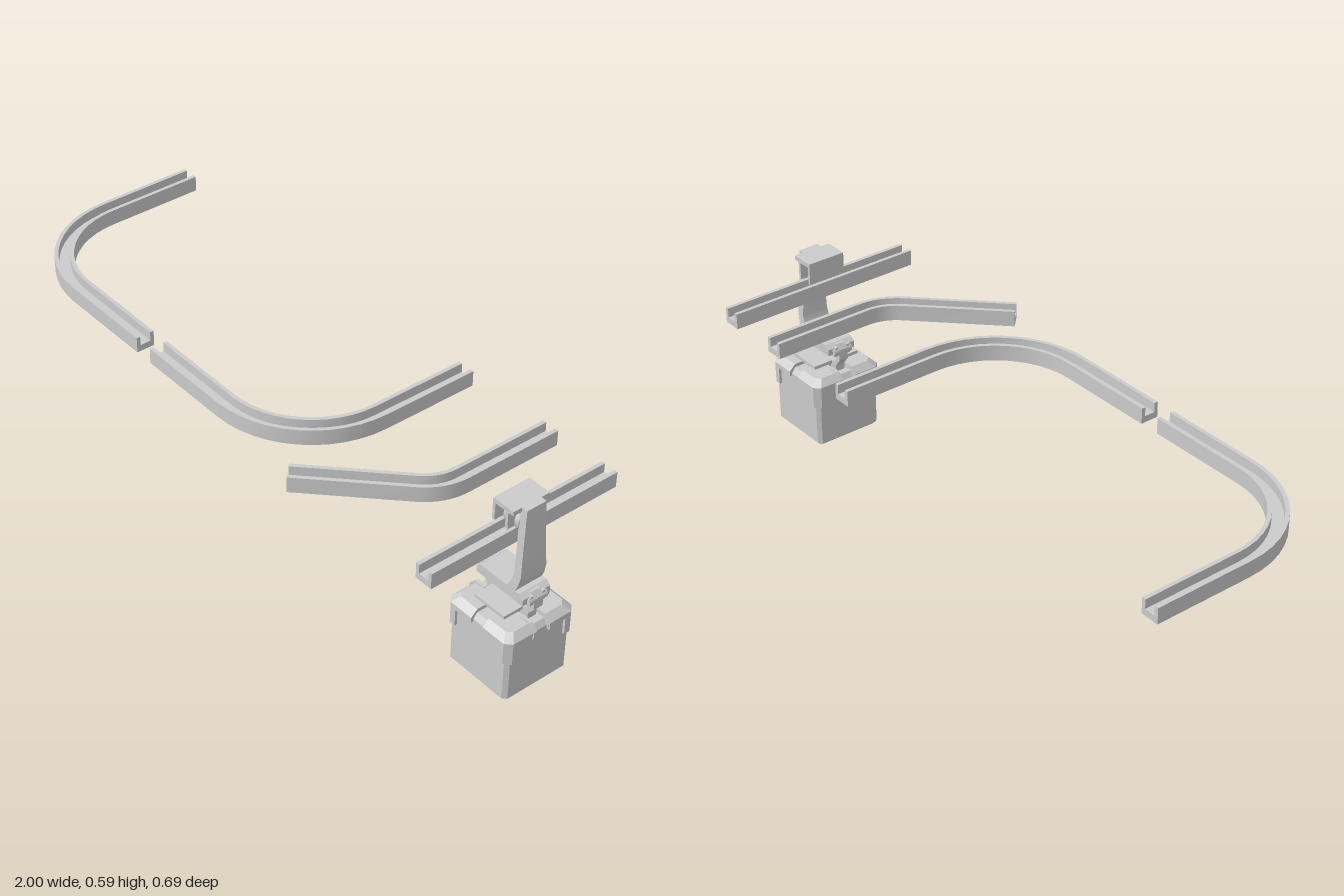
import * as THREE from 'three';
import { toCreasedNormals } from 'three/addons/utils/BufferGeometryUtils.js';

const material = new THREE.MeshStandardMaterial({ color: 0xcccccc });
const CX = 0.874, CZ = -0.02; // centre of the hanging crate

function add(parent, name, geometry, x = 0, y = 0, z = 0) {
  const mesh = new THREE.Mesh(geometry, material);
  mesh.name = name;
  mesh.position.set(x, y, z);
  parent.add(mesh);
  return mesh;
}

// Box given by its limits on each axis
function block(parent, name, x0, x1, y0, y1, z0, z1) {
  return add(parent, name, new THREE.BoxGeometry(x1 - x0, y1 - y0, z1 - z0),
    (x0 + x1) / 2, (y0 + y1) / 2, (z0 + z1) / 2);
}

// Capped skin over matching rings; contour is the counter-clockwise 2D section
function loft(rings, contour) {
  const tris = [], n = contour.length, last = rings.length - 1;
  for (let i = 0; i < last; i++) {
    for (let j = 0; j < n; j++) {
      const k = (j + 1) % n;
      const [a, b, c, d] = [rings[i][j], rings[i][k], rings[i + 1][k], rings[i + 1][j]];
      tris.push([a, b, c], [a, c, d]);
    }
  }
  for (const [a, b, c] of THREE.ShapeUtils.triangulateShape(contour, [])) {
    tris.push([rings[last][a], rings[last][b], rings[last][c]]);
    tris.push([rings[0][a], rings[0][c], rings[0][b]]);
  }
  // turn the skin outward when its signed volume is negative
  const cross = new THREE.Vector3();
  const volume = tris.reduce((s, [a, b, c]) => s + a.dot(cross.crossVectors(b, c)), 0);
  if (volume < 0) tris.forEach(t => t.reverse());
  const geometry = new THREE.BufferGeometry().setFromPoints(tris.flat());
  return toCreasedNormals(geometry, 0.4);
}

// Loft upward from sections in x and z: levels are [y, contour]
function stack(levels) {
  return loft(levels.map(([y, pts]) => pts.map(p => new THREE.Vector3(p.x, y, p.y))), levels[0][1]);
}

const v2 = list => list.map(([x, y]) => new THREE.Vector2(x, y));

// Square with cut corners
function octagon(h, c) {
  const k = h - c;
  return v2([[h, -k], [h, k], [k, h], [-k, h], [-h, k], [-h, -k], [-k, -h], [k, -h]]);
}

// Square from g to h with its outer corner cut
const cornerShape = (g, h, c) => v2([[g, g], [h, g], [h, h - c], [h - c, h], [g, h]]);

function arc(cx, cz, r, a0, a1, steps = 12) {
  return Array.from({ length: steps + 1 }, (_, i) => {
    const a = a0 + (a1 - a0) * i / steps;
    return [cx + r * Math.cos(a), cz + r * Math.sin(a)];
  });
}

// Channel open at the top, swept along a path in x and z
function rail(parent, name, path) {
  const w = 0.029, t = 0.017, y0 = 0.46, y1 = 0.509, floor = 0.48;
  const section = v2([[-w, y0], [w, y0], [w, y1], [t, y1], [t, floor], [-t, floor], [-t, y1], [-w, y1]]);
  const pts = path.map(([x, z]) => new THREE.Vector2(x, z));
  const rings = pts.map((p, i) => {
    const dir = pts[Math.min(i + 1, pts.length - 1)].clone().sub(pts[Math.max(i - 1, 0)]).normalize();
    return section.map(s => new THREE.Vector3(p.x - dir.y * s.x, s.y, p.y + dir.x * s.x));
  });
  add(parent, name, loft(rings, section));
}

function buildRails(root) {
  const rails = new THREE.Group();
  rails.name = 'rails';
  root.add(rails);
  const PI = Math.PI;
  rail(rails, 'leftTurnRail', [[-0.971, -0.345], ...arc(-0.676, -0.033, 0.295, PI, PI / 2), [-0.358, 0.262]]);
  rail(rails, 'rightTurnRail', [[-0.295, 0.262], ...arc(0.02, -0.033, 0.295, PI / 2, 0), [0.315, -0.345]]);
  rail(rails, 'halfTurnRail', [[0.652, -0.345], ...arc(0.492, -0.03, 0.16, 0, PI / 4, 8), [0.365, 0.322]]);
  rail(rails, 'straightRail', [[CX, -0.345], [CX, 0.295]]);
}

function buildCrate(root) {
  const crate = new THREE.Group();
  crate.name = 'crate';
  crate.position.set(CX, 0, CZ);
  root.add(crate);

  add(crate, 'crateBody', stack([
    [0, octagon(0.1, 0.008)], [0.012, octagon(0.112, 0.011)],
    [0.205, octagon(0.112, 0.011)], [0.222, octagon(0.1, 0.011)],
  ]));

  // four lid quarters with a leg down each corner of the crate
  for (let i = 0; i < 4; i++) {
    const quarter = new THREE.Group();
    quarter.name = 'lidCorner';
    quarter.rotation.y = i * Math.PI / 2;
    crate.add(quarter);
    add(quarter, 'lidQuarter', stack([
      [0.197, cornerShape(0.022, 0.12, 0.018)],
      [0.213, cornerShape(0.022, 0.12, 0.018)],
      [0.233, cornerShape(0.022, 0.1, 0.014)],
    ]));
    add(quarter, 'cornerLeg', stack([
      [0.142, cornerShape(0.083, 0.12, 0.018)],
      [0.2, cornerShape(0.083, 0.12, 0.018)],
    ]));
  }

  // pedestal and top plate
  block(crate, 'platePedestal', -0.045, 0.045, 0.215, 0.243, -0.065, 0.065);
  block(crate, 'topPlate', -0.057, 0.057, 0.242, 0.252, -0.08, 0.08);

  // strap ribs over the side edges
  const rib = new THREE.Shape(v2([[0.07, 0.222], [0.07, 0.237], [0.104, 0.237],
    [0.124, 0.217], [0.124, 0.193], [0.108, 0.193], [0.108, 0.215]]));
  const ribGeometry = new THREE.ExtrudeGeometry(rib, { depth: 0.011, bevelEnabled: false });
  for (const turn of [0, Math.PI]) {
    const side = new THREE.Group();
    side.name = 'strapRibs';
    side.rotation.y = turn;
    crate.add(side);
    for (const z of [-0.034, 0.023]) add(side, 'strapRib', ribGeometry, 0, 0, z);
  }
}

function buildHanger(root) {
  const hanger = new THREE.Group();
  hanger.name = 'hanger';
  hanger.position.set(CX, 0, CZ);
  root.add(hanger);

  // arm from the trolley down to the foot: y, inner x, outer x, half depth
  const arm = [[0.3, 0, 0.05, 0.048], [0.322, 0.024, 0.056, 0.048], [0.345, 0.038, 0.065, 0.046],
    [0.375, 0.046, 0.071, 0.0445], [0.45, 0.043, 0.067, 0.0395], [0.587, 0.038, 0.064, 0.033]];
  add(hanger, 'hangerArm', stack(arm.map(([y, a, b, d]) => [y, v2([[a, -d], [b, -d], [b, d], [a, d]])])));

  // foot with sloped ends
  const foot = new THREE.Shape(v2([[-0.088, 0.292], [0.088, 0.292], [0.088, 0.312],
    [0.072, 0.323], [-0.072, 0.323], [-0.088, 0.312]]));
  add(hanger, 'hangerFoot', new THREE.ExtrudeGeometry(foot, { depth: 0.096, bevelEnabled: false }), 0, 0, -0.048);

  // hinged links that grip the crate
  const link = new THREE.Shape(v2([[0.074, 0.32], [0.084, 0.32], [0.098, 0.304], [0.098, 0.268],
    [0.078, 0.243], [0.078, 0.222], [0.05, 0.222], [0.05, 0.25], [0.066, 0.254],
    [0.082, 0.272], [0.082, 0.29], [0.07, 0.296]]));
  const linkGeometry = new THREE.ExtrudeGeometry(link, { depth: 0.031, bevelEnabled: false });
  const pinGeometry = new THREE.CylinderGeometry(0.013, 0.013, 0.064, 12).rotateX(Math.PI / 2);
  for (const turn of [0, Math.PI]) {
    const side = new THREE.Group();
    side.name = 'sideLink';
    side.rotation.y = turn;
    hanger.add(side);
    add(side, 'link', linkGeometry, 0, 0, -0.0155);
    add(side, 'hingePin', pinGeometry, 0.086, 0.297, 0);
    for (const z of [-0.026, 0.016]) block(side, 'hingeEar', 0.07, 0.094, 0.284, 0.314, z, z + 0.01);
  }

  // trolley housing, open at the ends and below
  block(hanger, 'trolleyRoof', -0.03, 0.045, 0.573, 0.587, -0.062, 0.062);
  block(hanger, 'trolleyWall', -0.03, -0.021, 0.518, 0.574, -0.062, 0.062);
  block(hanger, 'trolleyWall', 0.018, 0.027, 0.518, 0.574, -0.062, 0.062);

  // wheel running in the channel, its axle and the outer boss
  const disc = (name, r, x0, x1) => add(hanger, name,
    new THREE.CylinderGeometry(r, r, x1 - x0, 24).rotateZ(Math.PI / 2), (x0 + x1) / 2, 0.532, 0);
  disc('wheel', 0.039, -0.013, 0.011);
  disc('axle', 0.01, -0.03, 0.045);
  disc('wheelBoss', 0.039, 0.026, 0.042);
}

export function createModel() {
  const root = new THREE.Group();
  root.name = 'railAndHangingCrate';
  buildRails(root);
  buildCrate(root);
  buildHanger(root);
  return root;
}
